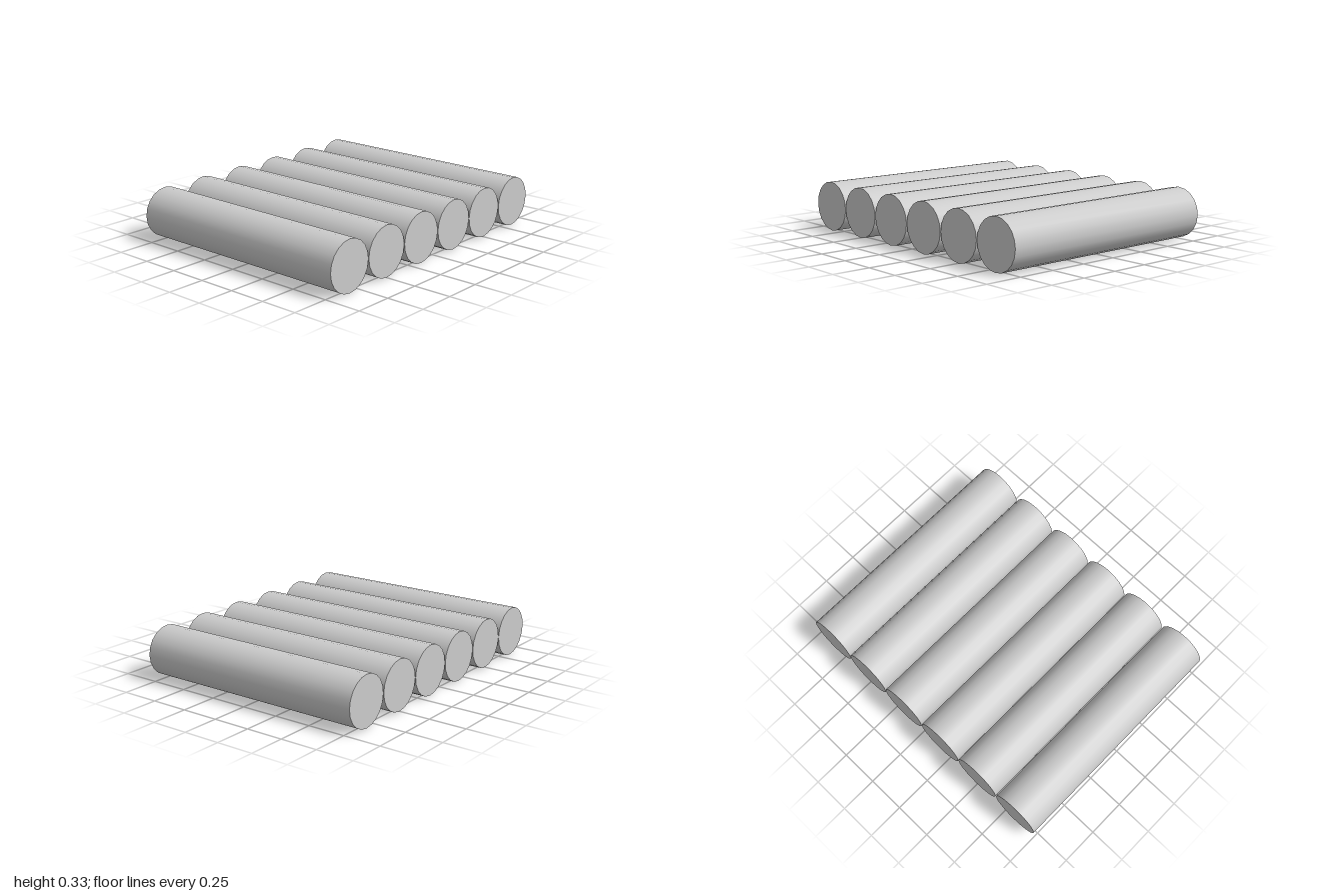
import * as THREE from 'three';

const COUNT = 6;
const RADIUS = 0.165;
const LENGTH = 1.58;
const SPACING = (2 - 2 * RADIUS) / (COUNT - 1);

export function createModel() {
  const model = new THREE.Group();
  model.name = 'logRow';
  const material = new THREE.MeshStandardMaterial({ color: 0xcccccc });

  // One log, lying along z
  const logGeometry = new THREE.CylinderGeometry(RADIUS, RADIUS, LENGTH, 20);
  logGeometry.rotateX(Math.PI / 2);

  // Row of logs side by side with narrow gaps
  for (let i = 0; i < COUNT; i++) {
    const log = new THREE.Mesh(logGeometry, material);
    log.name = `log${i + 1}`;
    log.position.set((i - (COUNT - 1) / 2) * SPACING, RADIUS, 0);
    model.add(log);
  }
  return model;
}
